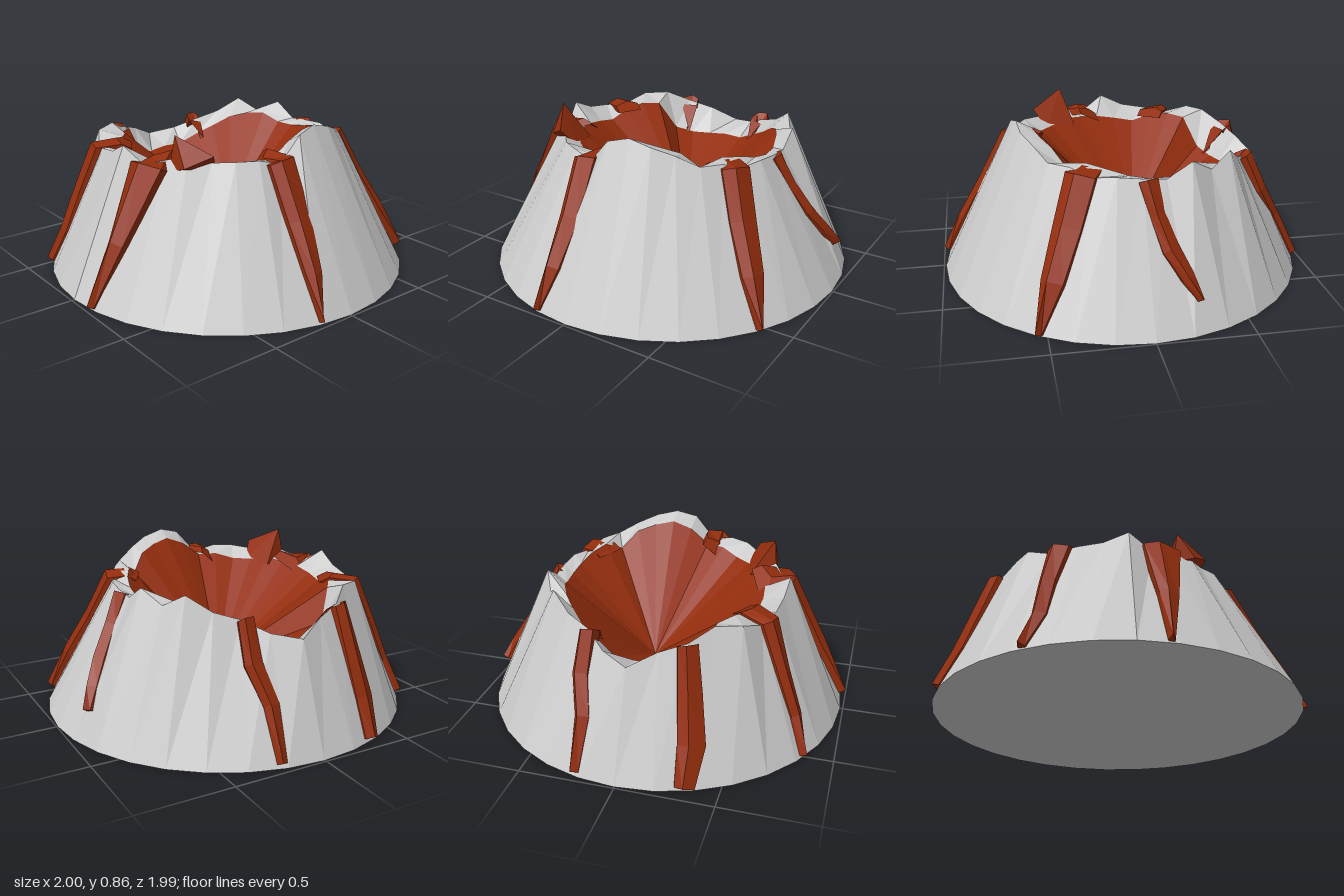
import * as THREE from 'three';
import { ConvexGeometry } from 'three/addons/geometries/ConvexGeometry.js';

const V = (x, y, z) => new THREE.Vector3(x, y, z);
const SIDES = 32;
const BASE_RADIUS = 0.99;

// crater rim, starting at the front and turning towards +x
const RIM_RADIUS = [
  0.59, 0.58, 0.6, 0.6, 0.62, 0.61, 0.61, 0.62, 0.62, 0.63, 0.66, 0.66, 0.68, 0.67, 0.66, 0.72,
  0.78, 0.73, 0.72, 0.69, 0.72, 0.7, 0.68, 0.66, 0.66, 0.63, 0.6, 0.6, 0.58, 0.6, 0.6, 0.59];
const RIM_HEIGHT = [
  0.83, 0.86, 0.83, 0.79, 0.735, 0.73, 0.69, 0.7, 0.69, 0.68, 0.76, 0.69, 0.76, 0.68, 0.64, 0.58,
  0.55, 0.62, 0.66, 0.72, 0.71, 0.66, 0.68, 0.7, 0.76, 0.68, 0.72, 0.74, 0.72, 0.73, 0.73, 0.7];

// height of the lava around the crater wall, same order
const LAVA_HEIGHT = [
  0.78, 0.82, 0.8, 0.77, 0.68, 0.73, 0.71, 0.68, 0.66, 0.66, 0.7, 0.69, 0.66, 0.6, 0.55, 0.5,
  0.5, 0.49, 0.49, 0.52, 0.68, 0.69, 0.67, 0.63, 0.65, 0.67, 0.68, 0.69, 0.67, 0.67, 0.7, 0.7];

// lava streams, each point: x, y, z, half width
const STREAMS = [
  [[-0.18, 0.01, 0.965, 0.01], [-0.15, 0.22, 0.87, 0.045], [-0.13, 0.45, 0.74, 0.065], [-0.13, 0.72, 0.6, 0.07], [-0.14, 0.71, 0.46, 0.055]],
  [[0.84, 0.01, 0.54, 0.015], [0.75, 0.24, 0.46, 0.06], [0.64, 0.47, 0.37, 0.075], [0.55, 0.7, 0.29, 0.08], [0.46, 0.71, 0.24, 0.08]],
  [[0.9, 0.16, -0.235, 0.015], [0.85, 0.26, -0.18, 0.035], [0.78, 0.38, -0.11, 0.045], [0.69, 0.53, -0.06, 0.04], [0.62, 0.68, -0.03, 0.05]],
  [[0.22, 0.02, -0.95, 0.025], [0.21, 0.27, -0.83, 0.04], [0.25, 0.45, -0.73, 0.045], [0.24, 0.65, -0.64, 0.04], [0.23, 0.56, -0.55, 0.01]],
  [[-0.33, 0.01, -0.92, 0.05], [-0.34, 0.2, -0.83, 0.07], [-0.31, 0.44, -0.75, 0.06], [-0.28, 0.66, -0.68, 0.05], [-0.23, 0.52, -0.58, 0.01]],
  [[-0.84, 0.01, -0.5, 0.02], [-0.78, 0.2, -0.43, 0.04], [-0.7, 0.42, -0.4, 0.045], [-0.61, 0.67, -0.35, 0.06], [-0.49, 0.69, -0.28, 0.07]],
  [[-0.965, 0.01, 0.155, 0.015], [-0.82, 0.32, 0.17, 0.05], [-0.63, 0.69, 0.17, 0.1], [-0.5, 0.7, 0.1, 0.08]]
];

// joins rings of equal point count, listed so that the outside faces out
function loft(rings) {
  const p = [];
  for (let r = 0; r < rings.length - 1; r++) {
    const lower = rings[r], upper = rings[r + 1], n = lower.length;
    for (let i = 0; i < n; i++) {
      const j = (i + 1) % n;
      for (const v of [lower[i], lower[j], upper[j], lower[i], upper[j], upper[i]]) p.push(v.x, v.y, v.z);
    }
  }
  const g = new THREE.BufferGeometry();
  g.setAttribute('position', new THREE.Float32BufferAttribute(p, 3));
  g.computeVertexNormals();
  return g;
}

const ring = (fn) => Array.from({ length: SIDES }, (_, i) => {
  const a = (i / SIDES) * Math.PI * 2;
  return fn(Math.sin(a), Math.cos(a), i);
});

// ridged ribbon lying on the slope
function streamGeometry(points) {
  const centres = points.map(([x, y, z]) => V(x, y, z));
  const rings = centres.map((c, i) => {
    const along = centres[Math.min(i + 1, centres.length - 1)].clone().sub(centres[Math.max(i - 1, 0)]);
    const out = V(c.x, 0.5 * Math.hypot(c.x, c.z), c.z).normalize();
    const side = out.clone().cross(along).normalize();
    const w = points[i][3];
    return [[-1, -0.05], [-1, 0.01], [0.25, 0.04], [1, 0.01], [1, -0.05]].map(([s, h]) => {
      const v = c.clone().addScaledVector(side, s * w).addScaledVector(out, h);
      v.y = Math.max(v.y, 0);
      return v;
    });
  });
  const cap = (c) => Array(5).fill(c);
  return loft([cap(centres[0]), ...rings, cap(centres[centres.length - 1])]);
}

export function createModel() {
  const group = new THREE.Group();
  const rock = new THREE.MeshStandardMaterial({ color: 0xcccccc, flatShading: true });
  const lava = new THREE.MeshStandardMaterial({ color: 0x932d0d, flatShading: true, side: THREE.DoubleSide });
  const add = (name, geometry, material) => {
    const mesh = new THREE.Mesh(geometry, material);
    mesh.name = name;
    group.add(mesh);
  };

  // mountain: underside, slope and the inner lip of the crater
  const centre = ring(() => V(0.005, 0, 0));
  const base = ring((s, c) => V(0.005 + s * BASE_RADIUS, 0, c * BASE_RADIUS));
  const rim = ring((s, c, i) => V(s * RIM_RADIUS[i], RIM_HEIGHT[i], c * RIM_RADIUS[i]));
  const lavaEdge = ring((s, c, i) => V(0.01 + s * 0.54, LAVA_HEIGHT[i], -0.06 + c * 0.56));
  add('mountain', loft([centre, base, rim, lavaEdge]), rock);

  // lava bowl
  add('craterLava', loft([lavaEdge, ring(() => V(0.07, 0.22, -0.06))]), lava);

  // streams running down the slope
  STREAMS.forEach((s, i) => add('lavaStream' + (i + 1), streamGeometry(s), lava));

  // lava lump on the rim
  add('lavaLump', new ConvexGeometry([
    V(-0.55, 0.66, 0.24), V(-0.53, 0.85, 0.27), V(-0.54, 0.7, 0.36),
    V(-0.42, 0.76, 0.44), V(-0.36, 0.66, 0.37), V(-0.41, 0.66, 0.2)]), lava);

  return group;
}
